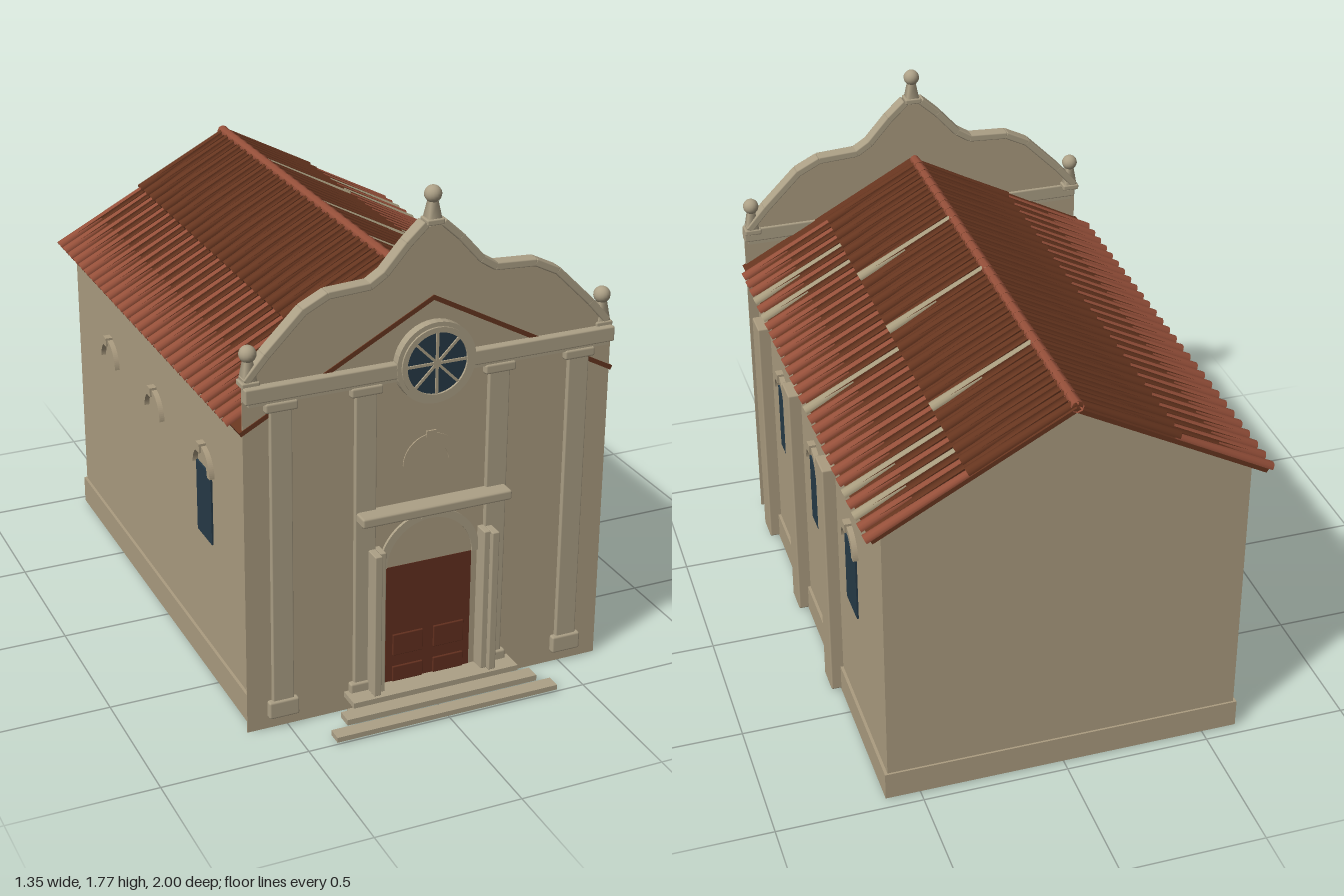
import * as THREE from 'three';
import { RoundedBoxGeometry } from 'three/addons/geometries/RoundedBoxGeometry.js';

const material = (name, color, side = THREE.FrontSide) => {
  const m = new THREE.MeshStandardMaterial({ color, side });
  m.name = name;
  return m;
};

export function createModel() {
  const model = new THREE.Group();
  model.name = 'chapel';
  const wall = material('plaster', 0xab9c80);
  const trim = material('stone trim', 0xaca086);
  const wood = material('door wood', 0x63301f);
  const glass = material('window glass', 0x263a47);
  const tileRed = material('red tile', 0x96503a, THREE.DoubleSide);
  const tileBrown = material('brown tile', 0x66351f, THREE.DoubleSide);
  const tileTan = material('pale tile', 0xa89c7e, THREE.DoubleSide);

  const add = (name, geometry, mat, x = 0, y = 0, z = 0, parent = model) => {
    const m = new THREE.Mesh(geometry, mat);
    m.name = name;
    m.position.set(x, y, z);
    parent.add(m);
    return m;
  };
  // Box given by its limits; bevel > 0 softens the edges
  const box = (name, mat, x0, x1, y0, y1, z0, z1, bevel = 0) => {
    const s = [x1 - x0, y1 - y0, z1 - z0];
    const g = bevel ? new RoundedBoxGeometry(...s, 1, bevel) : new THREE.BoxGeometry(...s);
    return add(name, g, mat, (x0 + x1) / 2, (y0 + y1) / 2, (z0 + z1) / 2);
  };
  const extrude = (shape, depth) =>
    new THREE.ExtrudeGeometry(shape, { depth, bevelEnabled: false, curveSegments: 20 });
  const outline = pts => new THREE.Shape(pts.map(p => new THREE.Vector2(...p)));
  const halfRing = (outer, inner, depth) => {
    const s = new THREE.Shape();
    s.absarc(0, 0, outer, 0, Math.PI, false);
    s.absarc(0, 0, inner, Math.PI, 0, true);
    return extrude(s, depth);
  };

  // Nave with gabled ends, and its plinth
  add('nave', extrude(outline([[-0.61, 0.005], [0.61, 0.005], [0.61, 1.07], [0, 1.405], [-0.61, 1.07]]), 1.735),
    wall, 0, 0, -0.955);
  box('plinth', wall, -0.62, 0.62, 0.005, 0.105, -0.962, 0.787);

  // Side walls: buttresses and windows on the left, mostly blind arches on the right
  for (const z of [0.633, 0.155, -0.328]) box('buttress', wall, 0.6, 0.655, 0.01, 0.93, z - 0.05, z + 0.05, 0.006);
  const sideArch = halfRing(0.09, 0.066, 0.022);
  for (const s of [1, -1]) {
    [0.397, -0.086, -0.568].forEach((z, i) => {
      if (s > 0 || i === 0) box('sideWindow', glass, s * 0.612 - 0.004, s * 0.612 + 0.004, 0.504, 0.76, z - 0.067, z + 0.067);
      add('windowArch', sideArch, wall, s * 0.606, 0.755, z).rotation.y = s * Math.PI / 2;
      box('windowKeystone', wall, s * 0.62 - 0.015, s * 0.62 + 0.015, 0.82, 0.852, z - 0.016, z + 0.016);
    });
  }

  // Facade sheet with a curved gable
  const half = [[0.625, 1.235], [0.56, 1.31], [0.435, 1.435], [0.355, 1.475], [0.215, 1.483],
    [0.165, 1.515], [0.09, 1.6], [0.03, 1.655]];
  const mirrored = half.map(([x, y]) => [-x, y]).reverse();
  add('facade', extrude(outline([[-0.64, 0], [0.64, 0], [0.64, 1.22], ...half, ...mirrored, [-0.64, 1.22]]), 0.005),
    wall, 0, 0, 0.817);

  // Coping stones along the gable
  for (const s of [1, -1]) {
    for (let i = 0; i < half.length - 1; i++) {
      const [ax, ay] = half[i], [bx, by] = half[i + 1];
      const length = Math.hypot(bx - ax, by - ay);
      const stone = add('coping', new RoundedBoxGeometry(length + 0.006, 0.026, 0.049, 1, 0.005), trim,
        s * (ax + bx) / 2, (ay + by) / 2, 0.802);
      stone.rotation.z = s * Math.atan2(by - ay, bx - ax);
    }
  }

  // Finials: tapered pedestal under a ball
  const finial = (x, y, h) => {
    box('finialBase', trim, x - 0.03, x + 0.03, y, y + 0.02, 0.775, 0.83, 0.005);
    const post = add('finialPost', new THREE.CylinderGeometry(0.018, 0.036, h, 4), trim, x, y + h / 2, 0.802);
    post.rotation.y = Math.PI / 4;
    add('finialBall', new THREE.SphereGeometry(0.028, 16, 12), trim, x, y + h + 0.02, 0.802);
  };
  finial(0, 1.65, 0.075);
  for (const s of [1, -1]) finial(s * 0.612, 1.215, 0.085);

  // Cornice and pilasters
  box('cornice', trim, -0.64, 0.64, 1.17, 1.222, 0.81, 0.85, 0.006);
  box('corniceFillet', trim, -0.625, 0.625, 1.158, 1.174, 0.815, 0.84);
  for (const c of [-0.518, -0.232, 0.232, 0.518]) {
    box('pilasterShaft', trim, c - 0.037, c + 0.037, 0.08, 1.14, 0.818, 0.838, 0.005);
    box('pilasterCapital', trim, c - 0.055, c + 0.055, 1.128, 1.162, 0.818, 0.846, 0.008);
    box('pilasterBase', trim, c - 0.053, c + 0.053, 0.042, 0.105, 0.818, 0.846, 0.008);
  }

  // Round window with eight panes
  const rose = new THREE.Group();
  rose.name = 'roseWindow';
  rose.position.set(0, 1.205, 0.82);
  model.add(rose);
  const ring = (r0, r1, depth) => {
    const s = new THREE.Shape().absarc(0, 0, r1, 0, Math.PI * 2, false);
    s.holes.push(new THREE.Path().absarc(0, 0, r0, 0, Math.PI * 2, true));
    return extrude(s, depth);
  };
  add('roseOuterRing', ring(0.12, 0.137, 0.033), trim, 0, 0, 0, rose);
  add('roseInnerRing', ring(0.104, 0.122, 0.04), trim, 0, 0, 0, rose);
  add('roseGlass', new THREE.CircleGeometry(0.108, 32), glass, 0, 0, 0.032, rose);
  for (let i = 0; i < 4; i++)
    add('roseBar', new THREE.BoxGeometry(0.21, 0.009, 0.006), trim, 0, 0, 0.034, rose).rotation.z = i * Math.PI / 4;

  // Small blind arch above the door
  add('nicheArch', halfRing(0.098, 0.062, 0.024), wall, 0, 0.853, 0.802);
  box('nicheKeystone', wall, -0.018, 0.018, 0.92, 0.962, 0.802, 0.828);

  // Doorway: leaves, panels, arch, side posts and hood
  box('door', wood, -0.153, 0.153, 0.07, 0.5, 0.82, 0.827);
  for (const s of [1, -1]) {
    for (const [y0, y1] of [[0.17, 0.248], [0.072, 0.128]])
      box('doorPanel', wood, s * 0.074 - 0.055, s * 0.074 + 0.055, y0, y1, 0.825, 0.834, 0.003);
    box('doorPost', trim, s * 0.187 - 0.012, s * 0.187 + 0.012, 0.07, 0.585, 0.82, 0.875, 0.004);
    box('doorPostOuter', trim, s * 0.209 - 0.013, s * 0.209 + 0.013, 0.07, 0.585, 0.82, 0.893, 0.004);
  }
  add('doorTympanum', halfRing(0.155, 0.001, 0.006), wall, 0, 0.5, 0.82);
  add('doorArch', halfRing(0.18, 0.153, 0.012), trim, 0, 0.5, 0.82);
  box('doorKeystone', trim, -0.035, 0.035, 0.66, 0.695, 0.82, 0.838);
  box('doorHood', trim, -0.265, 0.265, 0.692, 0.727, 0.82, 0.89, 0.008);

  // Thin step treads
  box('bottomStep', trim, -0.4, 0.4, 0.006, 0.024, 0.95, 1.0);
  box('middleStep', trim, -0.345, 0.345, 0.03, 0.05, 0.903, 0.955);
  box('topStep', trim, -0.3, 0.3, 0.053, 0.072, 0.825, 0.905);
  box('stepFooting', trim, -0.3, 0.3, 0.005, 0.02, 0.85, 0.897);

  // Roof: deck, pan tiles and cover tiles in two courses on each slope
  const slope = Math.atan2(0.355, 0.66);
  const count = 28, pitch = 0.0634;
  const halfTube = (length, r0, r1, turn) =>
    new THREE.CylinderGeometry(r0, r1, length, 6, 1, true, 0, Math.PI).rotateZ(turn * Math.PI / 2);
  const cover = halfTube(0.385, 0.015, 0.02, 1);
  const pan = halfTube(0.375, 0.019, 0.016, -1);
  const palest = { upper: [6, 14, 20], lower: [2, 4, 12, 22, 24] };
  for (const s of [1, -1]) {
    const side = new THREE.Group();
    side.name = s > 0 ? 'leftRoof' : 'rightRoof';
    side.position.y = 1.422;
    side.rotation.y = s > 0 ? 0 : Math.PI;
    const plane = new THREE.Group();
    plane.rotation.z = -slope;
    side.add(plane);
    model.add(side);
    add('roofDeck', new THREE.BoxGeometry(0.74, 0.015, 1.817), tileBrown, 0.37, -0.007, s * -0.0835, plane);
    for (let i = 0; i < count; i++) {
      const z = s * (-0.977 + i * pitch);
      for (const course of ['upper', 'lower']) {
        const upper = course === 'upper';
        const pale = s > 0 && palest[course].includes(i);
        const x = upper ? 0.19 : 0.56, lift = upper ? 0.008 : 0.002;
        add(course + 'CoverTile', cover, pale ? tileTan : upper ? tileBrown : tileRed, x, lift, z, plane);
        if (i < count - 1)
          add(course + 'PanTile', pan, tileBrown, x - 0.008, lift + 0.013, z + s * pitch / 2, plane);
      }
    }
  }

  // Ridge caps
  const cap = new THREE.CylinderGeometry(0.017, 0.021, 0.068, 8, 1, true).rotateX(Math.PI / 2);
  for (let i = 0; i < count; i++) add('ridgeCap', cap, tileRed, 0, 1.43, -0.965 + i * pitch);

  return model;
}
